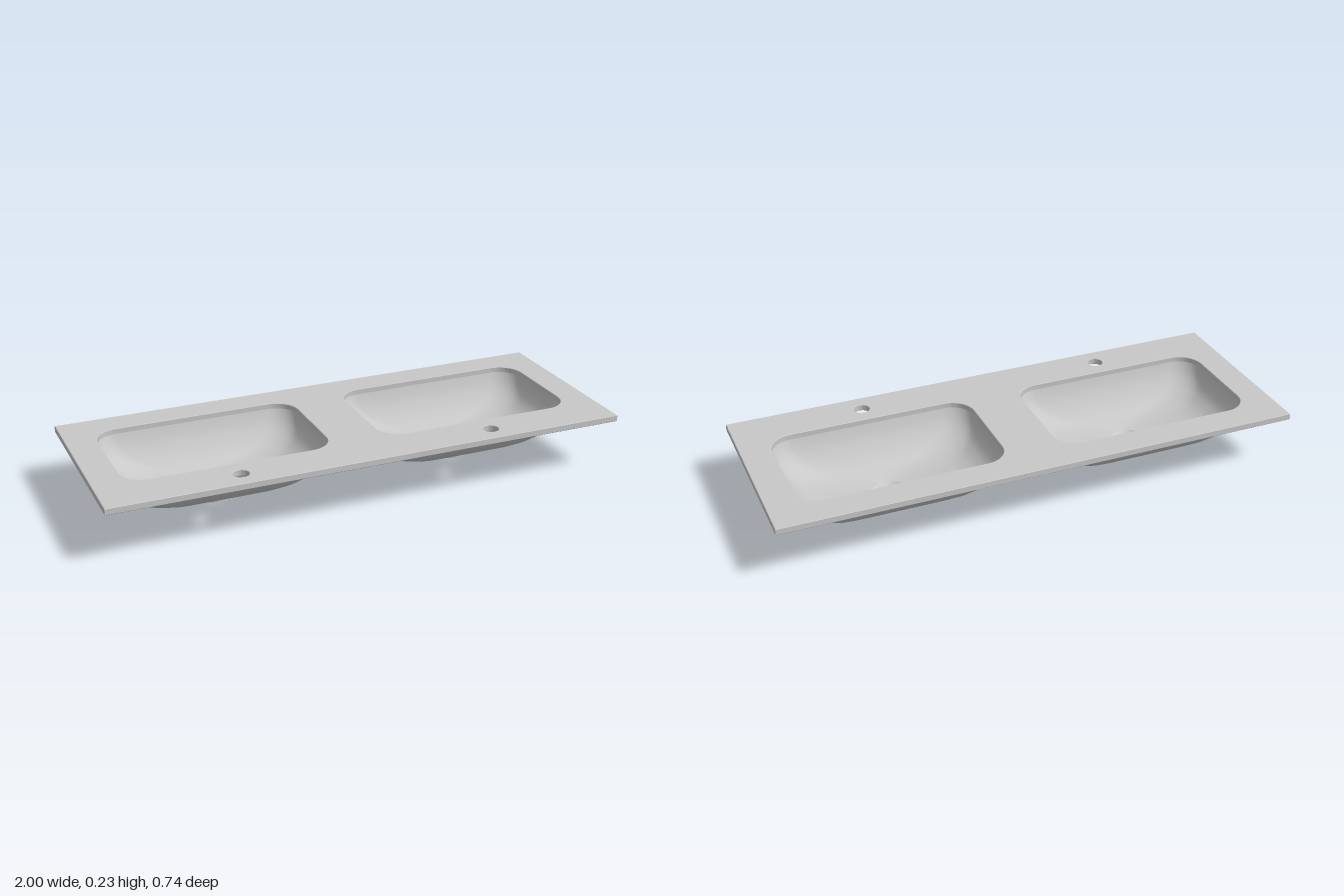
import * as THREE from 'three';
import { toCreasedNormals } from 'three/addons/utils/BufferGeometryUtils.js';

const CORNER = 8, SIDE = 8, N = 4 * (CORNER + SIDE);
const BASIN_X = 0.494, BASIN_Z = -0.025;

// Rounded rectangle outline, N points, starting at the +x side of the first corner
function roundedRect(w, d, r) {
  const pts = [];
  for (let q = 0; q < 4; q++) {
    const corner = (k, t) => {
      const a = (k + t) * Math.PI / 2;
      const sx = k % 4 === 0 || k % 4 === 3 ? 1 : -1, sz = k % 4 < 2 ? 1 : -1;
      return new THREE.Vector2(sx * (w - r) + r * Math.cos(a), sz * (d - r) + r * Math.sin(a));
    };
    for (let i = 0; i < CORNER; i++) pts.push(corner(q, i / CORNER));
    const from = corner(q, 1), to = corner(q + 1, 0);
    for (let i = 0; i < SIDE; i++) pts.push(from.clone().lerp(to, i / SIDE));
  }
  return pts;
}

// Evenly divided circle whose points line up with the rectangle's corners
function circle(r) {
  return Array.from({ length: N }, (_, i) => {
    const a = Math.PI / 4 + (i - CORNER / 2) / N * Math.PI * 2;
    return new THREE.Vector2(r * Math.cos(a), r * Math.sin(a));
  });
}

// Skin over a list of [height, outline]
function loft(rings) {
  const pos = [], index = [];
  rings.forEach(([y, pts]) => pts.forEach(p => pos.push(p.x, y, p.y)));
  for (let k = 0; k < rings.length - 1; k++) {
    for (let i = 0; i < N; i++) {
      const j = (i + 1) % N, a = k * N + i, b = k * N + j;
      index.push(a, b, a + N, b, b + N, a + N);
    }
  }
  const g = new THREE.BufferGeometry();
  g.setAttribute('position', new THREE.Float32BufferAttribute(pos, 3));
  g.setIndex(index);
  return toCreasedNormals(g, 0.6);
}

export function createModel() {
  const group = new THREE.Group();
  const ceramic = new THREE.MeshStandardMaterial({ color: 0xc8c8c8 });
  ceramic.name = 'ceramic grey';

  // Countertop slab with basin openings and tap holes
  const slab = new THREE.Shape([[-1, -0.372], [1, -0.372], [1, 0.372], [-1, 0.372]]
    .map(([x, y]) => new THREE.Vector2(x, y)));
  for (const s of [-1, 1]) {
    const opening = roundedRect(0.393, 0.233, 0.09)
      .map(p => new THREE.Vector2(p.x + s * BASIN_X, p.y - BASIN_Z));
    const tapHole = circle(0.03).map(p => new THREE.Vector2(p.x + s * BASIN_X, p.y - 0.291));
    slab.holes.push(new THREE.Path(opening), new THREE.Path(tapHole));
  }
  const slabGeo = new THREE.ExtrudeGeometry(slab, {
    depth: 0.021, bevelEnabled: true, bevelThickness: 0.002, bevelSize: 0.002,
    bevelOffset: -0.002, bevelSegments: 1,
  });
  slabGeo.rotateX(-Math.PI / 2).translate(0, 0.204, 0);
  const top = new THREE.Mesh(toCreasedNormals(slabGeo, 0.5), ceramic);
  top.name = 'countertop';
  group.add(top);

  // Basin: down the outside, around the drain pipe and back up the inside
  const outside = [
    [0.204, 0.408, 0.25, 0.105], [0.168, 0.401, 0.237, 0.107], [0.134, 0.388, 0.222, 0.11],
    [0.102, 0.365, 0.205, 0.115], [0.072, 0.32, 0.178, 0.115], [0.054, 0.265, 0.155, 0.11],
    [0.038, 0.165, 0.125, 0.1],
  ];
  const drain = [
    [0.025, 0.078], [0.019, 0.071], [0.012, 0.067], [0, 0.067],
    [0, 0.04], [0.014, 0.04], [0.042, 0.068],
  ];
  const inside = [
    [0.053, 0.155, 0.113, 0.09], [0.068, 0.255, 0.143, 0.1], [0.086, 0.308, 0.166, 0.105],
    [0.115, 0.352, 0.191, 0.1], [0.145, 0.375, 0.21, 0.095], [0.175, 0.387, 0.224, 0.092],
    [0.206, 0.393, 0.233, 0.09],
  ];
  const rect = ([y, w, d, r]) => [y, roundedRect(w, d, r)];
  const basinGeo = loft([
    ...outside.map(rect), ...drain.map(([y, r]) => [y, circle(r)]), ...inside.map(rect),
  ]);
  for (const s of [-1, 1]) {
    const basin = new THREE.Mesh(basinGeo, ceramic);
    basin.name = s > 0 ? 'leftBasin' : 'rightBasin';
    basin.position.set(s * BASIN_X, 0, BASIN_Z);
    group.add(basin);
  }
  return group;
}
